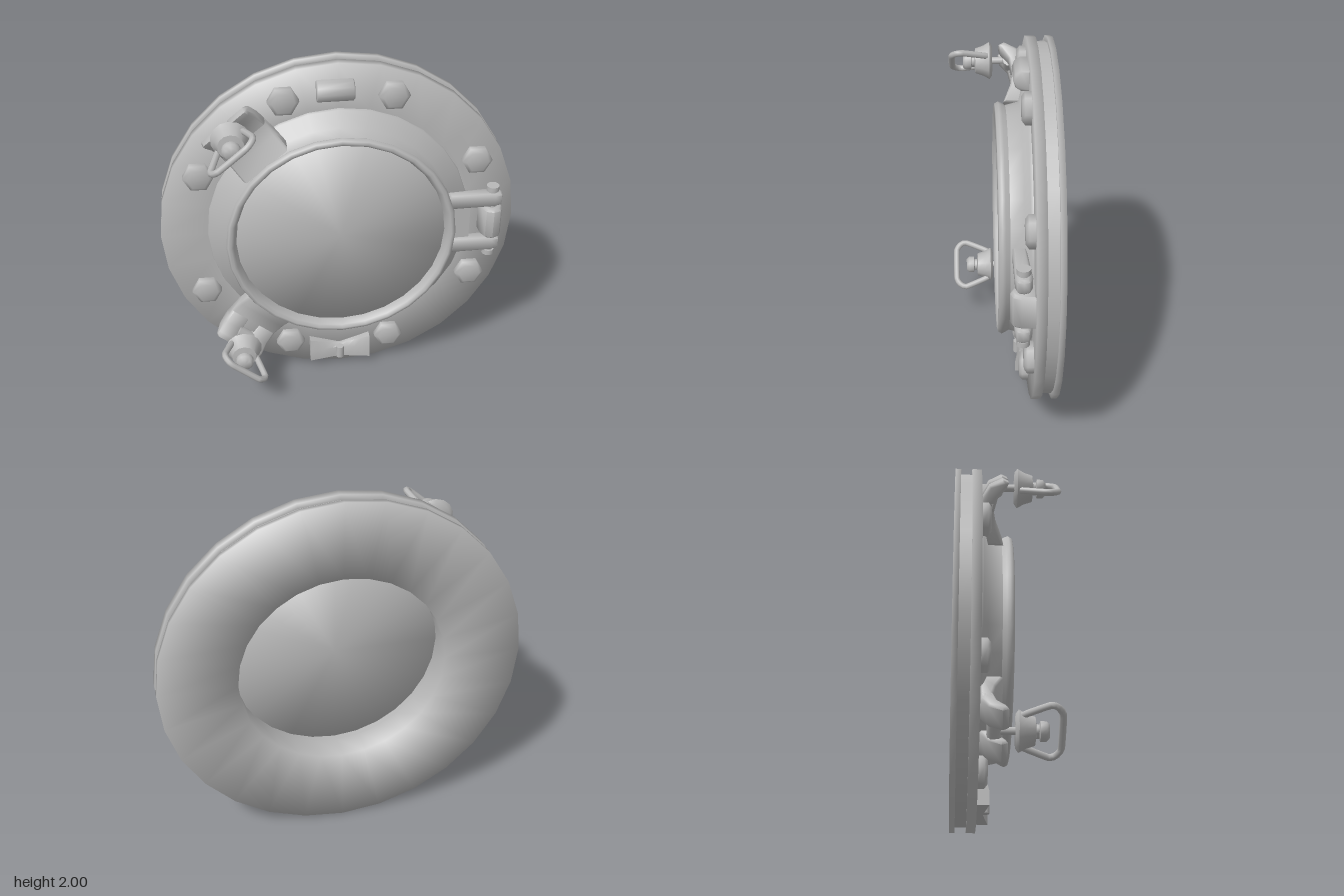
import * as THREE from 'three';
import { toCreasedNormals } from 'three/addons/utils/BufferGeometryUtils.js';

const metal = new THREE.MeshStandardMaterial({ color: 0xb8b8b8 });
metal.name = 'grey metal';

const crease = (g, a = 0.6) => toCreasedNormals(g, a);

function add(parent, name, geometry, x = 0, y = 0, z = 0) {
  const mesh = new THREE.Mesh(geometry, metal);
  mesh.name = name;
  mesh.position.set(x, y, z);
  parent.add(mesh);
  return mesh;
}

// Turned part around the z axis from [radius, z] points; normals are
// the plain average of the two neighbouring bands, for a cushioned look
function turned(points, segments) {
  const pts = points.map(p => new THREE.Vector2(p[0], p[1]));
  const g = new THREE.LatheGeometry(pts, segments);
  const band = pts.slice(1).map((p, i) => new THREE.Vector2(p.y - pts[i].y, pts[i].x - p.x).normalize());
  const normals = pts.map((p, i) => {
    const n = new THREE.Vector2();
    if (i > 0) n.add(band[i - 1]);
    if (i < band.length) n.add(band[i]);
    return p.x === 0 ? n.setX(0).normalize() : n.normalize();
  });
  for (let i = 0; i <= segments; i++) {
    const a = (i / segments) * Math.PI * 2;
    normals.forEach((n, j) =>
      g.attributes.normal.setXYZ(i * pts.length + j, n.x * Math.sin(a), n.y, n.x * Math.cos(a)));
  }
  return g.rotateX(Math.PI / 2);
}

// Side profile in (x, z), extruded evenly along y
function profile(points, width, bevel = 0.012) {
  const shape = new THREE.Shape(points.map(p => new THREE.Vector2(p[0], p[1])));
  const g = new THREE.ExtrudeGeometry(shape, {
    depth: width - 2 * bevel, bevelEnabled: true,
    bevelSize: bevel, bevelThickness: bevel, bevelOffset: -bevel, bevelSegments: 1,
  });
  return crease(g.translate(0, 0, bevel - width / 2).rotateX(Math.PI / 2), 1.0);
}

// Clamp: forked lug, swing bolt, flared nut and pull ring; +x points outward
function clamp() {
  const g = new THREE.Group();
  g.name = 'clamp';
  add(g, 'clampLug', profile([
    [0.62, -0.14], [0.85, -0.14], [0.85, -0.065], [0.8, -0.075], [0.72, -0.06], [0.62, -0.02],
  ], 0.31));
  const ear = profile([
    [0.79, -0.14], [0.86, -0.14], [0.93, -0.1], [0.965, -0.03], [0.95, 0.0],
    [0.92, -0.01], [0.87, -0.055], [0.79, -0.076],
  ], 0.125);
  for (const s of [-1, 1]) add(g, 'lugEar', ear, 0, s * 0.0925, 0);
  add(g, 'boltEye', crease(new THREE.CylinderGeometry(0.04, 0.04, 0.1, 12)), 0.895, 0, -0.065);
  add(g, 'boltStem', new THREE.CylinderGeometry(0.02, 0.02, 0.16, 8).rotateX(Math.PI / 2), 0.905, 0, -0.01);
  add(g, 'clampNut', crease(turned([
    [0, 0.035], [0.085, 0.035], [0.105, 0.05], [0.085, 0.085], [0.07, 0.13], [0.035, 0.135],
    [0.035, 0.15], [0.05, 0.155], [0.05, 0.185], [0.035, 0.2], [0, 0.2],
  ], 14), 0.9), 0.905);
  const half = [[0.075, 0.055], [0.115, 0.13], [0.145, 0.205], [0.135, 0.235], [0.095, 0.262]];
  const loop = [...half, ...half.map(p => [-p[0], p[1]]).reverse()];
  const path = new THREE.CatmullRomCurve3(
    loop.map(p => new THREE.Vector3(0, p[0], p[1])), true, 'catmullrom', 0.2);
  add(g, 'pullRing', new THREE.TubeGeometry(path, 40, 0.018, 8, true), 0.905);
  return g;
}

export function createModel() {
  const model = new THREE.Group();
  model.name = 'porthole';
  const body = new THREE.Group();
  body.name = 'body';
  body.position.y = 1;
  model.add(body);

  // Flange: cushioned back and front plates with a groove between them
  add(body, 'flangeBack', turned([[0.57, -0.13], [0.57, -0.28], [1, -0.28], [1, -0.25], [0.97, -0.25]], 28));
  add(body, 'flangeGroove', turned([[0.97, -0.255], [0.97, -0.185]], 28));
  add(body, 'flangeFront', turned([[0.97, -0.19], [1, -0.19], [1, -0.14], [0.73, -0.14]], 28));

  // Raised collar and rolled lip
  add(body, 'collarStep', turned([[0.74, -0.142], [0.735, -0.125], [0.64, -0.1], [0.62, -0.02]], 28));
  add(body, 'collarLip', turned([
    [0.62, -0.03], [0.635, -0.005], [0.642, 0.012], [0.632, 0.03], [0.615, 0.035], [0.6, 0.02],
    [0.585, -0.02], [0.585, -0.14],
  ], 28));

  // Cushion-like glass
  add(body, 'glass', turned([[0, -0.075], [0.6, -0.075], [0.6, -0.025], [0, -0.025]], 28));

  // Hexagonal bolts
  const bolt = turned([[0.085, 0], [0.085, 0.035], [0.062, 0.052], [0, 0.052]], 6).rotateZ(Math.PI / 2);
  for (const sx of [-1, 1]) for (const sy of [-1, 1])
    for (const [x, y] of [[0.295, 0.807], [0.768, 0.38]])
      add(body, 'bolt', bolt, sx * x, sy * y, -0.142);

  // Hinge: two arms, pin with end caps, knuckle and backing plate
  const pin = (r, h) => crease(new THREE.CylinderGeometry(r, r, h, 12));
  for (const s of [-1, 1]) {
    add(body, 'hingeArm', profile([
      [0.61, -0.105], [0.87, -0.125], [0.91, -0.11], [0.92, -0.08], [0.91, -0.05], [0.87, -0.038], [0.61, -0.035],
    ], 0.08), 0, 0.005 + s * 0.147, 0);
    add(body, 'pinCap', pin(0.036, 0.03), 0.862, 0.005 + s * 0.212, -0.08);
  }
  add(body, 'hingePin', pin(0.026, 0.44), 0.862, 0.005, -0.08);
  add(body, 'hingeKnuckle', profile([
    [0.8, -0.145], [0.925, -0.145], [0.922, -0.07], [0.905, -0.03], [0.865, -0.014], [0.825, -0.03], [0.805, -0.07],
  ], 0.19), 0, 0.005, 0);
  add(body, 'hingePlate', new THREE.BoxGeometry(0.13, 0.22, 0.05), 0.675, 0.005, -0.1);

  // Rounded stop block at the top
  const block = profile([
    [-0.055, -0.145], [0.055, -0.145], [0.055, -0.1], [0.035, -0.07], [0, -0.058], [-0.035, -0.07], [-0.055, -0.1],
  ], 0.2, 0.006).rotateZ(Math.PI / 2);
  add(body, 'topBlock', block, -0.02, 0.855, 0);

  // Waisted rest at the bottom
  const rest = new THREE.BoxGeometry(0.36, 0.14, 0.07, 8, 2, 1);
  const p = rest.attributes.position;
  for (let i = 0; i < p.count; i++) {
    const waist = 1 - Math.abs(p.getX(i)) / 0.18;
    if (p.getY(i) > 0.01) p.setY(i, 0.07 - 0.06 * waist);
    if (p.getZ(i) > 0) p.setZ(i, 0.035 - 0.03 * waist - (p.getY(i) > 0.005 ? 0.02 : 0));
  }
  add(body, 'bottomRest', crease(rest, 1.0), 0, -0.87, -0.11);
  add(body, 'restPeg', pin(0.024, 0.075), 0, -0.895, -0.095);

  // Clamps above and below on the right side
  for (const s of [-1, 1]) {
    const c = clamp();
    c.rotation.z = s * THREE.MathUtils.degToRad(130);
    body.add(c);
  }
  return model;
}
